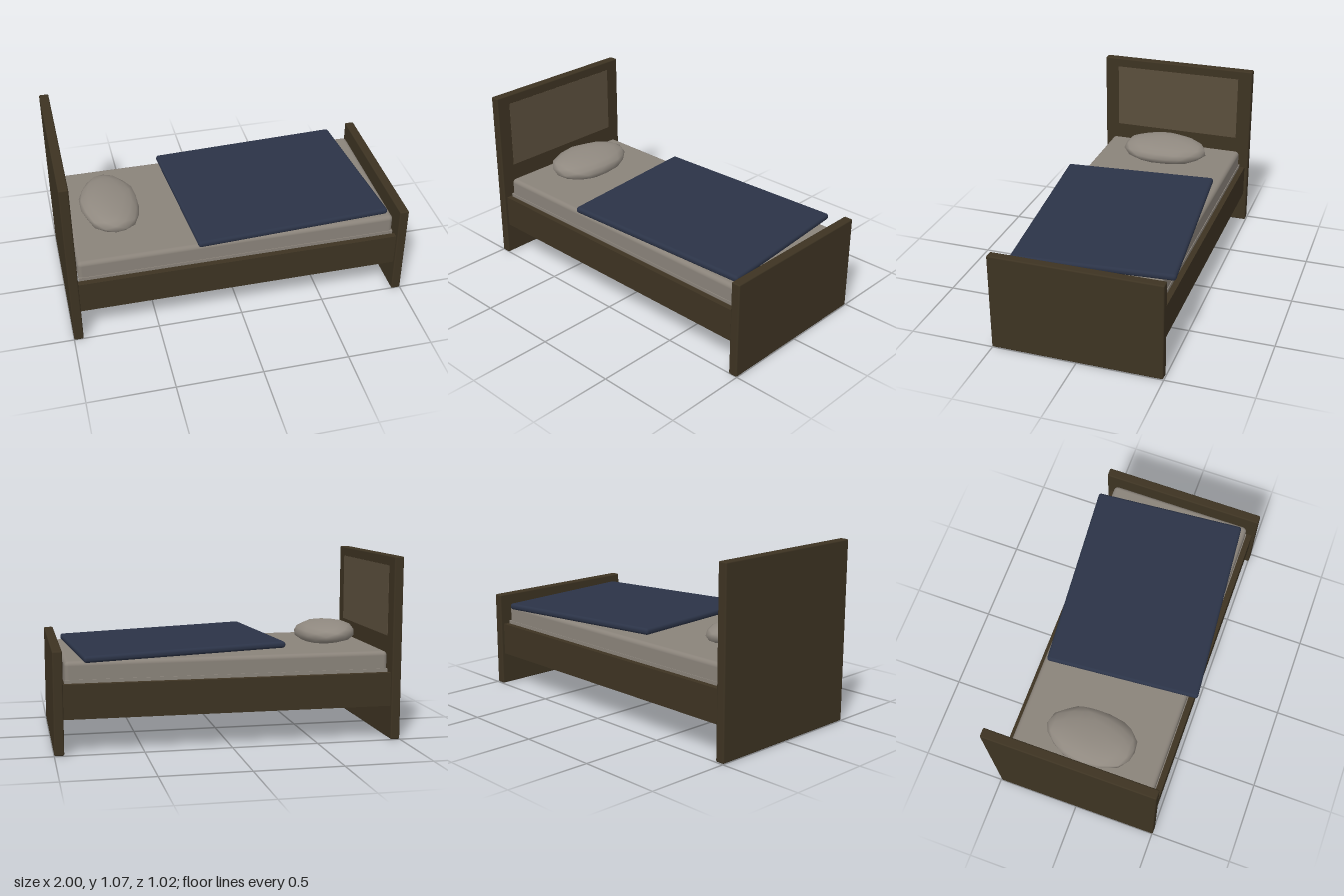
import * as THREE from 'three';
import { mergeVertices } from 'three/addons/utils/BufferGeometryUtils.js';
import { RoundedBoxGeometry } from 'three/addons/geometries/RoundedBoxGeometry.js';

const material = (name, color) => {
  const m = new THREE.MeshStandardMaterial({ color });
  m.name = name;
  return m;
};

function addMesh(parent, name, geometry, mat, x, y, z) {
  const mesh = new THREE.Mesh(geometry, mat);
  mesh.name = name;
  mesh.position.set(x, y, z);
  parent.add(mesh);
  return mesh;
}

// Squashed, lumpy ball with full, boxy sides
function pillowGeometry() {
  let geo = new THREE.IcosahedronGeometry(1, 2);
  geo.deleteAttribute('normal');
  geo.deleteAttribute('uv');
  geo = mergeVertices(geo, 1e-4);
  const p = geo.attributes.position;
  const v = new THREE.Vector3();
  for (let i = 0; i < p.count; i++) {
    v.fromBufferAttribute(p, i);
    const lump = 1 + 0.04 * Math.sin(5 * v.x + 2 * v.z) * Math.cos(4 * v.z - 3 * v.y);
    const y = Math.sign(v.y) * Math.pow(Math.abs(v.y), 0.8);
    // the head side sits a little higher than the other
    p.setXYZ(i, v.x * lump * 0.173, y * lump * 0.065 - v.x * 0.012, v.z * lump * 0.272);
  }
  geo.computeVertexNormals();
  return geo;
}

export function createModel() {
  const bed = new THREE.Group();
  bed.name = 'bed';

  const wood = material('dark wood', 0x3d3322);
  const panelWood = material('panel wood', 0x5a4e3c);
  const sheet = material('mattress cloth', 0x8a837a);
  const pillowCloth = material('pillow cloth', 0x908980);
  const blanketCloth = material('navy blanket', 0x2b3347);

  // Frame and mattress share one centre line
  const frame = new THREE.Group();
  frame.name = 'frame';
  frame.position.z = 0.004;
  bed.add(frame);

  // End boards
  const endBoard = (name, x, height) =>
    addMesh(frame, name, new RoundedBoxGeometry(0.055, height, 1, 2, 0.008), wood, x, height / 2, 0);
  endBoard('headboard', -0.9725, 1.067);
  endBoard('footboard', 0.9725, 0.582);

  // Thin panel on the inner face of the headboard
  addMesh(frame, 'headboardPanel', new THREE.BoxGeometry(0.004, 0.41, 0.82), panelWood, -0.9455, 0.805, 0);

  // Side rails
  for (const side of [-1, 1]) {
    addMesh(frame, side > 0 ? 'frontRail' : 'backRail',
      new THREE.BoxGeometry(1.9, 0.195, 0.035), wood, 0, 0.2945, side * 0.4625);
  }

  // Mattress, with a flat underside that meets the rails
  addMesh(frame, 'mattress', new RoundedBoxGeometry(1.868, 0.128, 0.884, 3, 0.025), sheet, -0.002, 0.449, 0);
  addMesh(frame, 'mattressBase', new THREE.BoxGeometry(1.868, 0.028, 0.892), sheet, -0.002, 0.398, 0);

  // Pillow
  addMesh(bed, 'pillow', pillowGeometry(), pillowCloth, -0.685, 0.579, 0.008);

  // Blanket, laid slightly askew and sloping to the foot
  const blanket = addMesh(bed, 'blanket', new RoundedBoxGeometry(1.165, 0.038, 0.926, 3, 0.017),
    blanketCloth, 0.2875, 0.549, 0.001);
  blanket.rotation.set(0, 0.083, -0.03, 'YXZ');

  return bed;
}
